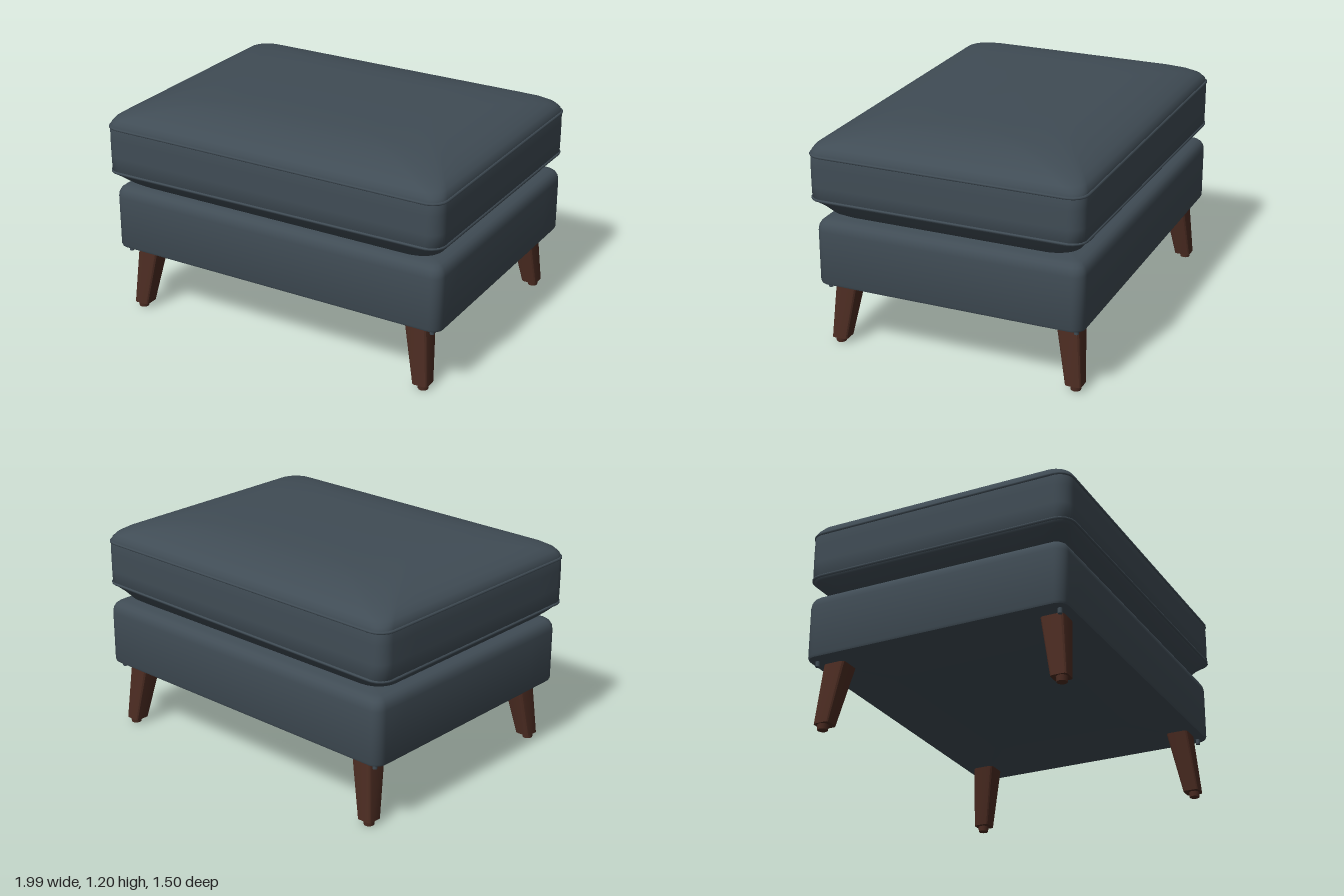
import * as THREE from 'three';
import { toCreasedNormals } from 'three/addons/utils/BufferGeometryUtils.js';

const CX = 0.006, CZ = -0.018; // centre of the base and legs

// Points of a horizontal rounded rectangle, with subdivided straight edges.
function ring({ hx, hz, r, y, x = 0, z = 0, tilt = 0 }, arc = 8, edge = 8) {
  const corners = [[1, 1], [-1, 1], [-1, -1], [1, -1]];
  const pts = [];
  corners.forEach(([sx, sz], i) => {
    for (let k = 0; k <= arc; k++) {
      const a = (i + k / arc) * Math.PI / 2;
      pts.push(new THREE.Vector3(x + sx * (hx - r) + r * Math.cos(a), y, z + sz * (hz - r) + r * Math.sin(a)));
    }
    const [nx, nz] = corners[(i + 1) % 4];
    const a = (i + 1) * Math.PI / 2;
    const start = pts[pts.length - 1];
    const end = new THREE.Vector3(x + nx * (hx - r) + r * Math.cos(a), y, z + nz * (hz - r) + r * Math.sin(a));
    for (let k = 1; k < edge; k++) pts.push(start.clone().lerp(end, k / edge));
  });
  pts.forEach(p => { p.y += tilt * p.x; });
  return pts;
}

// Capped skin over rings listed from bottom to top.
function loft(sections, arc, edge, crease = 0.6) {
  const rings = sections.map(s => ring(s, arc, edge));
  const n = rings[0].length, last = rings.length - 1;
  const pts = rings.flat();
  const centre = s => new THREE.Vector3(s.x || 0, s.y, s.z || 0);
  const bottom = pts.push(centre(sections[0])) - 1;
  const top = pts.push(centre(sections[last])) - 1;
  const index = [];
  for (let j = 0; j < n; j++) {
    const k = (j + 1) % n;
    for (let i = 0; i < last; i++) {
      const a = i * n + j, b = i * n + k;
      index.push(a, a + n, b, b, a + n, b + n);
    }
    index.push(bottom, j, k, top, last * n + k, last * n + j);
  }
  const g = new THREE.BufferGeometry().setFromPoints(pts);
  g.setIndex(index);
  return toCreasedNormals(g, crease);
}

export function createModel() {
  const fabric = new THREE.MeshStandardMaterial({ color: 0x404c55 });
  fabric.name = 'slate fabric';
  const wood = new THREE.MeshStandardMaterial({ color: 0x4c2c22 });
  wood.name = 'dark wood';

  const model = new THREE.Group();
  model.name = 'ottoman';
  const add = (name, geometry, material) => {
    const mesh = new THREE.Mesh(geometry, material);
    mesh.name = name;
    model.add(mesh);
    return mesh;
  };

  // Upholstered base: [inset, height], softly rounded at the top
  const baseProfile = [
    [0.016, 0.36], [0.005, 0.365], [0, 0.377], [0, 0.655], [0.004, 0.68],
    [0.015, 0.7], [0.032, 0.713], [0.06, 0.72],
  ];
  add('base', loft(baseProfile.map(([d, y]) => (
    { hx: 0.979 - d, hz: 0.729 - d, r: 0.06 - d * 0.6, y, x: CX, z: CZ }))), fabric);

  // Seat cushion: tucked underside, upright band and crowned top
  const cushionProfile = [
    [0.13, 0.715], [0.1, 0.725], [0.07, 0.745], [0.04, 0.78], [0.018, 0.803], [0.006, 0.82],
    [0.005, 0.9], [0.005, 1.0], [0.006, 1.06],
    [0.012, 1.085], [0.028, 1.107], [0.06, 1.128], [0.11, 1.149], [0.17, 1.168],
    [0.24, 1.184], [0.32, 1.195], [0.42, 1.2], [0.55, 1.202],
  ];
  const cushionRing = ([d, y]) => ({
    hx: 0.996 - d, hz: 0.748 - d, r: Math.min(0.075 + d * 0.5, (0.748 - d) * 0.9), y,
    tilt: y > 0.75 && y < 0.85 ? 0.008 : 0,
  });
  add('cushion', loft(cushionProfile.map(cushionRing), 8, 8, 0.9), fabric);

  // Piping along both cushion seams
  for (const [name, y] of [['lowerPiping', 0.82], ['upperPiping', 1.062]]) {
    const path = new THREE.CatmullRomCurve3(ring(cushionRing([0.007, y])), true);
    add(name, new THREE.TubeGeometry(path, 240, 0.008, 6, true), fabric);
  }

  // Splayed tapered legs with glides, and small pins below the base corners
  for (const [sx, side] of [[1, 'Left'], [-1, 'Right']]) {
    for (const [sz, end] of [[1, 'front'], [-1, 'back']]) {
      const at = (x, z) => ({ x: CX + sx * x, z: CZ + sz * z });
      add(`${end}${side}Leg`, loft([
        { hx: 0.043, hz: 0.044, r: 0.016, y: 0.028, ...at(0.864, 0.656) },
        { hx: 0.064, hz: 0.063, r: 0.022, y: 0.365, ...at(0.818, 0.612) },
      ], 3, 1, 0.4), wood);

      const foot = at(0.87, 0.662);
      add(`${end}${side}Glide`, new THREE.CylinderGeometry(0.03, 0.027, 0.032, 12), wood)
        .position.set(foot.x, 0.016, foot.z);

      const pin = at(0.921, 0.68);
      add(`${end}${side}Pin`, new THREE.CylinderGeometry(0.012, 0.012, 0.04, 10), fabric)
        .position.set(pin.x, 0.352, pin.z);
    }
  }
  return model;
}
